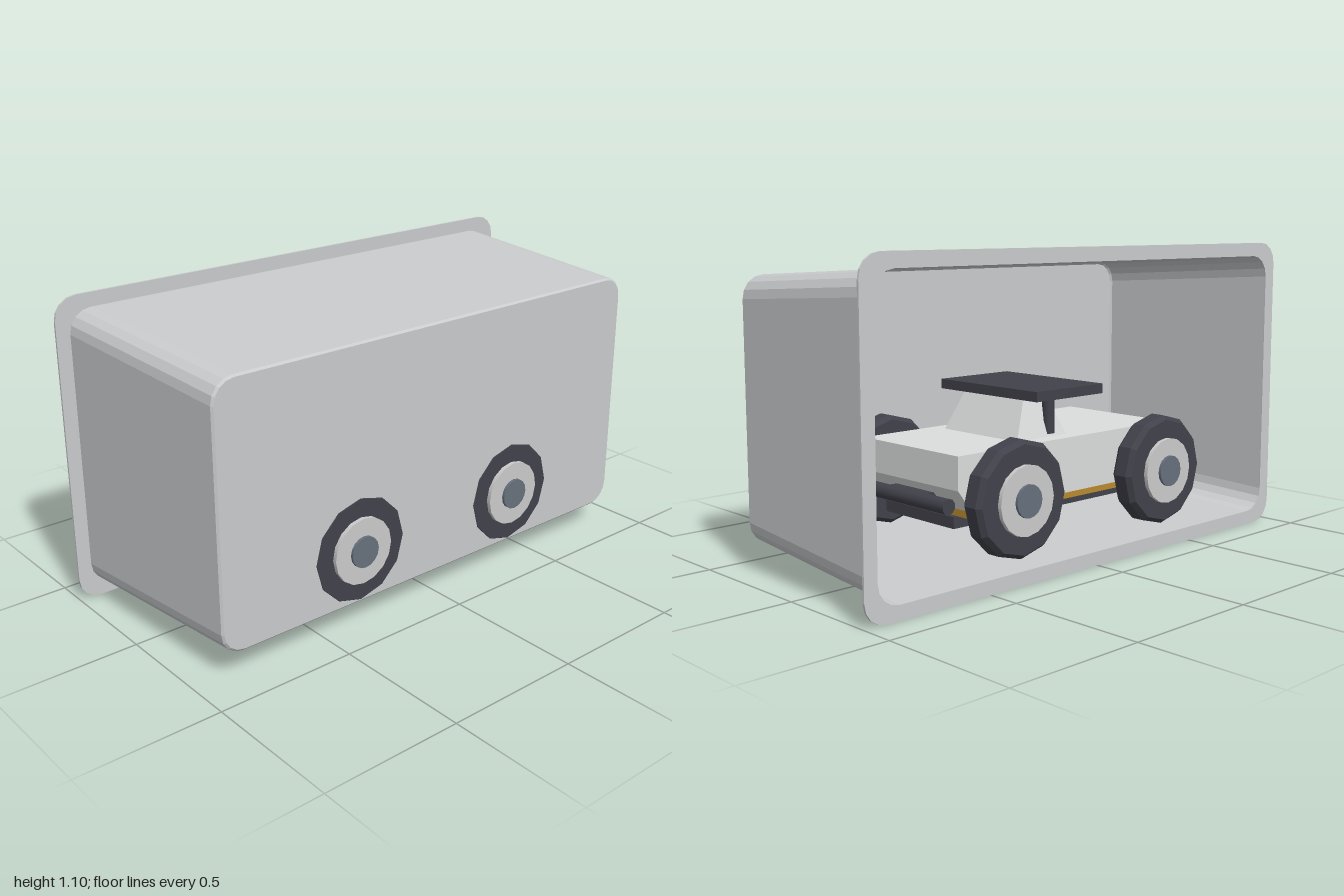
import * as THREE from 'three';

const mat = (name, color, side = THREE.FrontSide) => {
  const m = new THREE.MeshStandardMaterial({ color, side });
  m.name = name;
  return m;
};

export function createModel() {
  const trayGrey = mat('tray grey', 0xc9cbcd, THREE.DoubleSide);
  const white = mat('body white', 0xdcdddd);
  const hubGrey = mat('hub grey', 0xcbcbcb);
  const rubber = mat('dark rubber', 0x41414b);
  const steel = mat('blue steel', 0x67717d);
  const ochre = mat('ochre', 0xb98a2e);
  const model = new THREE.Group();

  const flat = (geo) => {
    const g = geo.index ? geo.toNonIndexed() : geo;
    g.computeVertexNormals();
    return g;
  };
  const add = (name, geo, material, x = 0, y = 0, z = 0, parent = model) => {
    const mesh = new THREE.Mesh(geo, material);
    mesh.name = name;
    mesh.position.set(x, y, z);
    parent.add(mesh);
    return mesh;
  };

  // Rounded rectangle outline, centred on the origin
  const outline = (w, h, r) => {
    const pts = [];
    [[1, 1], [-1, 1], [-1, -1], [1, -1]].forEach(([sx, sy], q) => {
      for (let i = 0; i <= 4; i++) {
        const a = (q + i / 4) * Math.PI / 2;
        pts.push(new THREE.Vector2(sx * (w - r) + r * Math.cos(a), sy * (h - r) + r * Math.sin(a)));
      }
    });
    return pts;
  };

  // Drafted tray walls, lofted between rounded outlines
  const sections = [
    [-0.38, 0.95, 0.5, 0.08], [0.379, 0.91, 0.458, 0.08], [0.386, 0.903, 0.451, 0.075],
  ];
  const pos = [], idx = [];
  sections.forEach(([z, w, h, r]) => outline(w, h, r).forEach((p) => pos.push(p.x, p.y, z)));
  const n = 20;
  for (let s = 0; s < sections.length - 1; s++) {
    for (let i = 0; i < n; i++) {
      const a = s * n + i, b = s * n + (i + 1) % n;
      idx.push(a, b, b + n, a, b + n, a + n);
    }
  }
  const wall = new THREE.BufferGeometry();
  wall.setAttribute('position', new THREE.Float32BufferAttribute(pos, 3));
  wall.setIndex(idx);
  add('trayWalls', flat(wall), trayGrey, 0, 0.55, 0);
  add('trayPanel', new THREE.ShapeGeometry(new THREE.Shape(outline(0.903, 0.451, 0.075))), trayGrey, 0, 0.55, 0.386);

  // Thin flange around the open back
  const rim = new THREE.Shape(outline(1, 0.55, 0.08));
  rim.holes.push(new THREE.Path(outline(0.95, 0.5, 0.08)));
  add('trayFlange', new THREE.ExtrudeGeometry(rim, { depth: 0.008, bevelEnabled: false }), trayGrey, 0, 0.55, -0.384);

  // Toy car
  const car = new THREE.Group();
  car.name = 'car';
  model.add(car);
  const box = (name, w, h, d, m, x, y, z = 0) => add(name, new THREE.BoxGeometry(w, h, d), m, x, y, z, car);

  // Body with tucked-in ends, extruded across the car
  const side = new THREE.Shape([
    [-0.46, 0.24], [0.46, 0.24], [0.52, 0.32], [0.52, 0.435], [-0.52, 0.435], [-0.52, 0.32],
  ].map(([x, y]) => new THREE.Vector2(x, y)));
  add('body', new THREE.ExtrudeGeometry(side, { depth: 0.5, bevelEnabled: false }), white, 0, 0, -0.25, car);
  box('floorPlate', 0.92, 0.025, 0.48, ochre, 0, 0.228);
  box('chassis', 0.96, 0.04, 0.36, rubber, 0, 0.196);

  // Tapered cabin under the roof
  const cabin = new THREE.BoxGeometry(0.24, 0.14, 0.38);
  const p = cabin.attributes.position;
  for (let i = 0; i < p.count; i++) {
    if (p.getY(i) > 0) p.setXYZ(i, p.getX(i) * 0.45, p.getY(i), p.getZ(i) * 0.8);
  }
  add('cabin', flat(cabin), white, 0.08, 0.505, 0, car);
  box('roof', 0.33, 0.035, 0.5, rubber, 0, 0.592);

  const post = new THREE.CylinderGeometry(0.022, 0.022, 0.13, 8);
  const bumper = new THREE.CylinderGeometry(0.027, 0.027, 0.5, 10).rotateX(Math.PI / 2);
  const axle = new THREE.CylinderGeometry(0.03, 0.03, 0.66, 10).rotateX(Math.PI / 2);

  // Wheel geometry, with the axis along z
  const tread = [[0.1, -0.043], [0.185, -0.043], [0.2, -0.025], [0.2, 0.025], [0.185, 0.043], [0.1, 0.043]];
  const tyre = flat(new THREE.LatheGeometry(tread.map(([r, y]) => new THREE.Vector2(r, y)), 12).rotateX(Math.PI / 2));
  const hub = new THREE.CylinderGeometry(0.119, 0.119, 0.1, 16).rotateX(Math.PI / 2);
  const cap = new THREE.CylinderGeometry(0.056, 0.056, 0.12, 16).rotateX(Math.PI / 2);

  for (const s of [-1, 1]) {
    add('cabinPost', post, rubber, 0.035, 0.51, s * 0.175, car);
    add('bumper', bumper, rubber, s * 0.56, 0.275, 0, car);
    box('bumperBracket', 0.1, 0.03, 0.2, rubber, s * 0.5, 0.275);
    add('axle', axle, steel, s * 0.355, 0.288, 0, car);
    for (const t of [-1, 1]) {
      const wheel = new THREE.Group();
      wheel.name = 'wheel';
      wheel.position.set(s * 0.355, 0.288, t * 0.345);
      add('tyre', tyre, rubber, 0, 0, 0, wheel);
      add('hub', hub, hubGrey, 0, 0, t * 0.008, wheel);
      add('hubCap', cap, steel, 0, 0, t * 0.008, wheel);
      car.add(wheel);
    }
  }
  return model;
}
